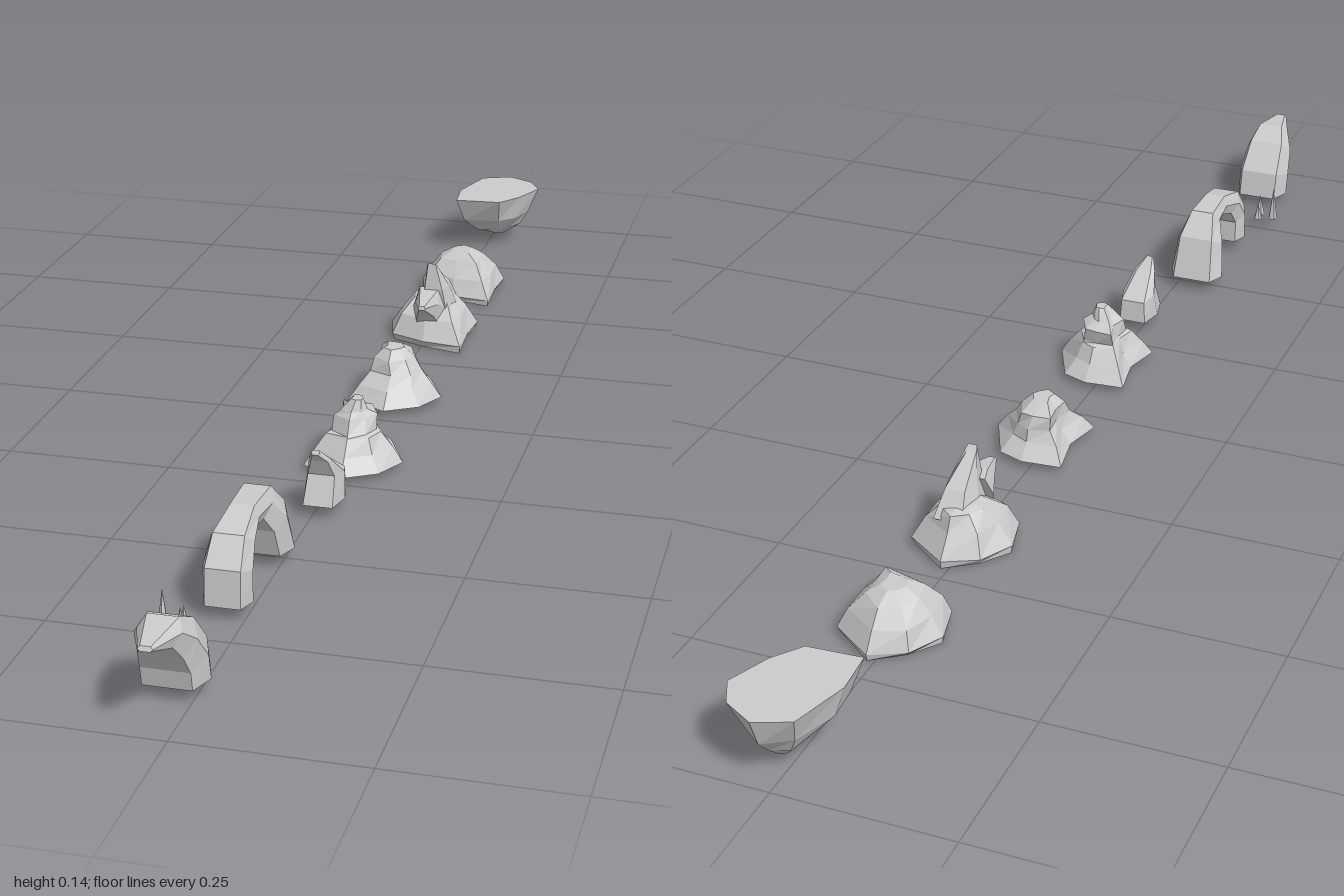
import * as THREE from 'three';

const stone = new THREE.MeshStandardMaterial({ color: 0xcccccc, flatShading: true, side: THREE.DoubleSide });

// Skin a list of rings (counter-clockwise around the path), with optional end caps
function loft(name, rings, capStart, capEnd) {
  const pos = [];
  const tri = (a, b, c) => pos.push(...a, ...b, ...c);
  const n = rings[0].length;
  for (let k = 0; k < rings.length - 1; k++) {
    for (let i = 0; i < n; i++) {
      const j = (i + 1) % n;
      tri(rings[k][i], rings[k][j], rings[k + 1][j]);
      tri(rings[k][i], rings[k + 1][j], rings[k + 1][i]);
    }
  }
  const cap = (ring, flip) => {
    const c = [0, 1, 2].map(a => ring.reduce((s, p) => s + p[a], 0) / n);
    ring.forEach((p, i) => {
      const q = ring[(i + 1) % n];
      if (flip) tri(c, q, p); else tri(c, p, q);
    });
  };
  if (capStart) cap(rings[0], true);
  if (capEnd) cap(rings[rings.length - 1], false);
  const geo = new THREE.BufferGeometry();
  geo.setAttribute('position', new THREE.Float32BufferAttribute(pos, 3));
  geo.computeVertexNormals();
  const mesh = new THREE.Mesh(geo, stone);
  mesh.name = name;
  return mesh;
}

// Rock from a plan outline; levels are [y, scale, dx, dz]
function rock(name, outline, cx, cz, levels, capStart = false) {
  const rings = levels.map(([y, s, dx = 0, dz = 0], k) => outline.map(([x, z], i) => {
    const r = s * (s === 1 ? 1 : 1 + 0.07 * Math.sin(i * 2.4 + k * 1.7));
    return [cx + dx + x * r, y, cz + dz + z * r];
  }));
  return loft(name, rings, capStart, true);
}

// Curved stone swept in the yz plane; stations are [zA, yA, zB, yB, xMin, xMax]
function sweep(name, stations, inset = 0.14) {
  const rings = stations.map(([za, ya, zb, yb, x0, x1]) => {
    const d = (x1 - x0) * inset, zm = (za + zb) / 2, ym = (ya + yb) / 2;
    return [[x1 - d, ya, za], [x0 + d, ya, za], [x0, ym, zm],
      [x0 + d, yb, zb], [x1 - d, yb, zb], [x1, ym, zm]];
  });
  return loft(name, rings, true, true);
}

export function createModel() {
  const group = new THREE.Group();
  group.name = 'rockFormations';

  // Plan outlines
  const knobPlan = [[.075, .005], [.04, -.07], [0, -.085], [-.062, -.08], [-.05, -.01], [-.065, .05], [0, .085], [.05, .055]];
  const domePlan = [[.07, -.04], [.005, -.085], [-.045, -.06], [-.072, -.01], [-.058, .05], [0, .075], [.065, .085], [.065, .02]];
  const islandPlan = [[.075, -.02], [.055, -.06], [.01, -.085], [-.04, -.065], [-.065, .02], [-.06, .085], [.02, .08], [.05, .04]];

  // Overhanging half arch
  group.add(sweep('curvedRock', [
    [.84, .018, .91, .018, -.075, .015],
    [.85, .062, .915, .045, -.075, .015],
    [.888, .107, .93, .072, -.07, .01],
    [.925, .125, .953, .098, -.055, .002],
    [.995, .12, .998, .114, -.034, -.015],
  ]));

  // Cluster of tiny spikes
  const spikes = new THREE.Group();
  spikes.name = 'smallSpikes';
  for (const [x, z, r, h] of [[-.084, .764, .008, .057], [-.06, .752, .007, .03], [-.058, .772, .008, .038], [-.082, .778, .005, .025]]) {
    const spike = new THREE.Mesh(new THREE.ConeGeometry(r, h, 5), stone);
    spike.name = 'spike';
    spike.position.set(x, .017 + h / 2, z);
    spikes.add(spike);
  }
  group.add(spikes);

  // Natural arch
  group.add(sweep('archRock', [
    [.642, .018, .695, .018, -.062, .006],
    [.644, .055, .69, .07, -.062, .006],
    [.625, .08, .66, .107, -.058, .002],
    [.595, .09, .6, .122, -.05, -.005],
    [.565, .087, .53, .12, -.054, -.002],
    [.545, .06, .495, .085, -.068, .01],
    [.532, .018, .472, .018, -.075, .015],
  ]));

  // Short fang
  group.add(sweep('fangRock', [
    [.29, .018, .368, .018, -.02, .04],
    [.295, .052, .35, .06, -.016, .038],
    [.345, .085, .36, .085, -.006, .028],
    [.366, .104, .37, .098, .002, .014],
  ]));

  // Stepped mounds with a knob on top
  group.add(rock('tallKnobRock', knobPlan, .012, .165, [
    [.01, 1], [.032, .75], [.055, .55], [.058, .48], [.08, .43, 0, -.008], [.088, .26], [.105, .13, .005, .002],
  ]));
  group.add(rock('lowKnobRock', knobPlan, .012, -.097, [
    [.01, 1], [.032, .73], [.05, .55, 0, -.008], [.07, .46, -.005, -.012], [.084, .22, -.005, -.008],
  ]));

  // Mound with two leaning spikes
  group.add(rock('spikedMound', domePlan, .005, -.393, [
    [0, .93], [.012, 1], [.045, .75], [.068, .45, 0, -.012], [.072, .25, 0, -.01],
  ]));
  group.add(sweep('tallSpike', [
    [-.44, .055, -.355, .055, -.015, .045],
    [-.412, .09, -.352, .092, -.006, .036],
    [-.366, .128, -.358, .136, .002, .019],
  ]));
  group.add(sweep('shortSpike', [
    [-.37, .09, -.345, .03, -.02, .035],
    [-.345, .093, -.325, .055, -.012, .028],
    [-.296, .082, -.294, .076, .002, .014],
  ]));

  // Plain dome
  group.add(rock('domeRock', domePlan, .005, -.628, [
    [0, .93], [.01, 1], [.038, .82], [.062, .52, 0, -.002], [.073, .24, 0, -.002],
  ]));

  // Flat-topped island tapering downwards
  group.add(rock('islandRock', islandPlan, .012, -.913, [
    [.012, .17, .005, -.015], [.03, .5, .003, -.005], [.055, .78], [.098, 1],
  ], true));

  return group;
}
